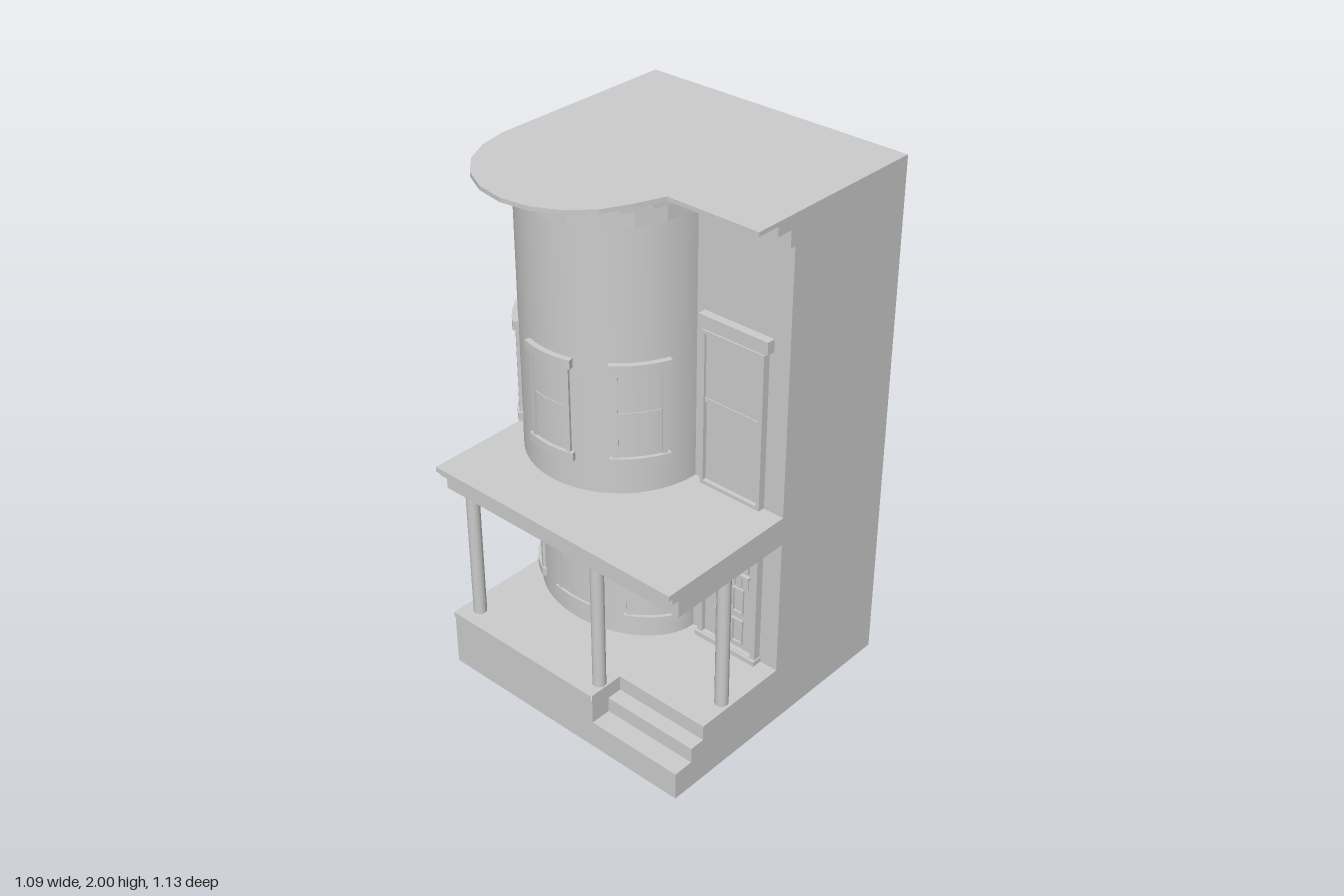
import * as THREE from 'three';

const stone = new THREE.MeshStandardMaterial({ color: 0xcccccc, side: THREE.DoubleSide });
stone.name = 'pale grey stone';

const BAY_X = -0.19, BAY_R = 0.345, HALF = 0.54, BACK = -0.565;

function add(parent, name, geometry, x = 0, y = 0, z = 0) {
  const mesh = new THREE.Mesh(geometry, stone);
  mesh.name = name;
  mesh.position.set(x, y, z);
  parent.add(mesh);
  return mesh;
}

// box given by its limits
function block(parent, name, x0, x1, y0, y1, z0, z1) {
  return add(parent, name, new THREE.BoxGeometry(x1 - x0, y1 - y0, z1 - z0),
    (x0 + x1) / 2, (y0 + y1) / 2, (z0 + z1) / 2);
}

// open sheet: a [z, y] line swept along x
function sheet(parent, name, line, x0, x1) {
  const p = [];
  for (let i = 0; i < line.length - 1; i++) {
    const [za, ya] = line[i], [zb, yb] = line[i + 1];
    p.push(x0, ya, za, x0, yb, zb, x1, yb, zb, x0, ya, za, x1, yb, zb, x1, ya, za);
  }
  const g = new THREE.BufferGeometry();
  g.setAttribute('position', new THREE.Float32BufferAttribute(p, 3));
  g.computeVertexNormals();
  return add(parent, name, g);
}

// flat side wall: a [z, y] outline standing at x
function sideWall(parent, name, outline, x) {
  const shape = new THREE.Shape(outline.map(([z, y]) => new THREE.Vector2(z, y)));
  return add(parent, name, new THREE.ShapeGeometry(shape).rotateY(-Math.PI / 2), x);
}

// plan outline raised from y0 to y1
function raise(shape, y0, y1) {
  return new THREE.ExtrudeGeometry(shape, { depth: y1 - y0, bevelEnabled: false, curveSegments: 6 })
    .rotateX(-Math.PI / 2).translate(0, y0, 0);
}

// curved bar hugging the bay; angles run from the front towards +x
function curvedBar(parent, name, r, a0, a1, y0, y1) {
  const s = new THREE.Shape(), q = -Math.PI / 2;
  s.absarc(0, 0, r, q + a0, q + a1, false);
  s.absarc(0, 0, BAY_R - 0.012, q + a1, q + a0, true);
  return add(parent, name, raise(s, y0, y1));
}

function bayWindow(parent, angle, half, y) {
  const w = new THREE.Group();
  w.name = 'bayWindow';
  const a = angle - half, b = angle + half, t = 0.05;
  curvedBar(w, 'windowSill', 0.362, a, b, y, y + 0.033);
  curvedBar(w, 'windowHead', 0.366, a, b, y + 0.36, y + 0.395);
  curvedBar(w, 'windowJamb', 0.356, a + 0.035, a + 0.035 + t, y + 0.033, y + 0.36);
  curvedBar(w, 'windowJamb', 0.356, b - 0.035 - t, b - 0.035, y + 0.033, y + 0.36);
  curvedBar(w, 'upperSash', 0.352, a + 0.08, b - 0.08, y + 0.215, y + 0.36);
  curvedBar(w, 'lowerSash', 0.348, a + 0.08, b - 0.08, y + 0.033, y + 0.205);
  parent.add(w);
}

// rounded front with three windows
function bay(parent, name, y0, y1, depth, windowY, spread, sideHalf) {
  const g = new THREE.Group();
  g.name = name;
  g.position.x = BAY_X;
  g.scale.z = depth;
  add(g, 'bayWall', new THREE.CylinderGeometry(BAY_R, BAY_R, y1 - y0, 24, 1, true,
    -Math.PI / 2, Math.PI), 0, (y0 + y1) / 2);
  bayWindow(g, 0, 0.287, windowY);
  for (const s of [-1, 1]) bayWindow(g, s * spread, sideHalf, windowY);
  parent.add(g);
}

// cornice layer: straight run on the right, bulging over the bay
function cornice(parent, name, offset, radius, endX, y0, y1) {
  const s = new THREE.Shape();
  s.moveTo(-HALF, 0);
  s.lineTo(-HALF, -offset);
  for (let i = 1; i < 10; i++) {
    const a = Math.PI - (i * Math.PI) / 10;
    s.lineTo(BAY_X + radius * Math.cos(a), -offset - radius * Math.sin(a));
  }
  s.lineTo(endX, -offset);
  s.lineTo(HALF, -offset);
  s.lineTo(HALF, 0);
  add(parent, name, raise(s, y0, y1));
}

// rectangular border made of four bars
function border(parent, name, x0, x1, y0, y1, z, t) {
  block(parent, name, x0, x0 + t, y0, y1, 0, z);
  block(parent, name, x1 - t, x1, y0, y1, 0, z);
  block(parent, name, x0 + t, x1 - t, y1 - t, y1, 0, z);
  block(parent, name, x0 + t, x1 - t, y0, y0 + t, 0, z);
}

export function createModel() {
  const house = new THREE.Group();
  house.name = 'townHouse';

  // main shell, open underneath
  sheet(house, 'houseShell', [[0, 0.23], [0, 2], [BACK, 2], [BACK, 0]], -HALF, HALF);
  for (const x of [-HALF, HALF]) {
    sideWall(house, 'houseSide', [[BACK, 0], [0, 0], [0, 2], [BACK, 2]], x);
  }

  // porch deck and steps, hollow underneath
  const steps = [[0, 0.23], [0.39, 0.23], [0.39, 0.17], [0.45, 0.17], [0.45, 0.11], [0.53, 0.11], [0.53, 0]];
  sheet(house, 'porchDeck', [[0, 0.23], [0.535, 0.23], [0.535, 0.21], [0.53, 0.21], [0.53, 0]], -HALF, 0.155);
  sheet(house, 'porchSteps', steps, 0.155, HALF);
  sideWall(house, 'porchSide', [[0, 0], [0.53, 0], [0.53, 0.23], [0, 0.23]], -HALF);
  sideWall(house, 'stepSide', [[0, 0], ...steps], HALF);
  sideWall(house, 'stepCheek', [[0.39, 0], [0.53, 0], [0.53, 0.23], [0.39, 0.23]], 0.155);

  // porch roof in three stepped mouldings
  block(house, 'porchRoofBeam', -HALF, HALF, 0.775, 0.842, 0, 0.52);
  block(house, 'porchRoofMoulding', -HALF, HALF, 0.842, 0.865, 0, 0.548);
  block(house, 'porchRoofEdge', -HALF, HALF, 0.865, 0.885, 0, 0.565);

  // porch columns
  for (const [x, z] of [[-0.478, 0.462], [0.125, 0.462], [0.505, 0.255]]) {
    add(house, 'porchColumn', new THREE.CylinderGeometry(0.025, 0.025, 0.545, 12), x, 0.5025, z);
  }

  // bays
  bay(house, 'lowerBay', 0.23, 0.775, 0.73, 0.292, 0.98, 0.38);
  bay(house, 'upperBay', 0.885, 1.9, 1, 1.0, 0.94, 0.3);

  // roof cornice
  cornice(house, 'corniceBase', 0.022, 0.348, 0.16, 1.888, 1.95);
  cornice(house, 'corniceMiddle', 0.086, 0.345, 0.17, 1.95, 1.985);
  cornice(house, 'corniceTop', 0.176, 0.345, 0.18, 1.985, 2);

  // tall window over the porch
  const tall = new THREE.Group();
  tall.name = 'tallWindow';
  border(tall, 'tallWindowFrame', 0.197, 0.458, 0.888, 1.485, 0.028, 0.014);
  block(tall, 'tallWindowHead', 0.187, 0.475, 1.495, 1.542, 0, 0.032);
  block(tall, 'tallWindowHeadNeck', 0.197, 0.458, 1.485, 1.495, 0, 0.022);
  block(tall, 'upperSash', 0.211, 0.444, 1.228, 1.471, 0, 0.018);
  block(tall, 'lowerSash', 0.211, 0.444, 0.902, 1.212, 0, 0.012);
  block(tall, 'meetingRail', 0.211, 0.444, 1.212, 1.228, 0, 0.022);
  house.add(tall);

  // front door
  const door = new THREE.Group();
  door.name = 'frontDoor';
  border(door, 'doorFrame', 0.2, 0.463, 0.232, 0.692, 0.03, 0.02);
  block(door, 'doorLeaf', 0.22, 0.443, 0.252, 0.672, 0, 0.012);
  block(door, 'threshold', 0.195, 0.468, 0.23, 0.25, 0, 0.04);
  border(door, 'transomFrame', 0.245, 0.417, 0.598, 0.676, 0.022, 0.01);
  block(door, 'doorShelf', 0.24, 0.422, 0.572, 0.585, 0, 0.026);
  for (let i = 0; i < 6; i++) {
    const x = 0.246 + i * 0.0295;
    block(door, 'smallPane', x, x + 0.022, 0.525, 0.572, 0, 0.018);
  }
  for (const x of [0.268, 0.346]) {
    for (const [y0, y1] of [[0.275, 0.38], [0.408, 0.515]]) {
      border(door, 'doorPanelTrim', x, x + 0.05, y0, y1, 0.02, 0.007);
    }
  }
  add(door, 'doorKnob', new THREE.SphereGeometry(0.009, 10, 8), 0.247, 0.432, 0.024);
  house.add(door);

  return house;
}
